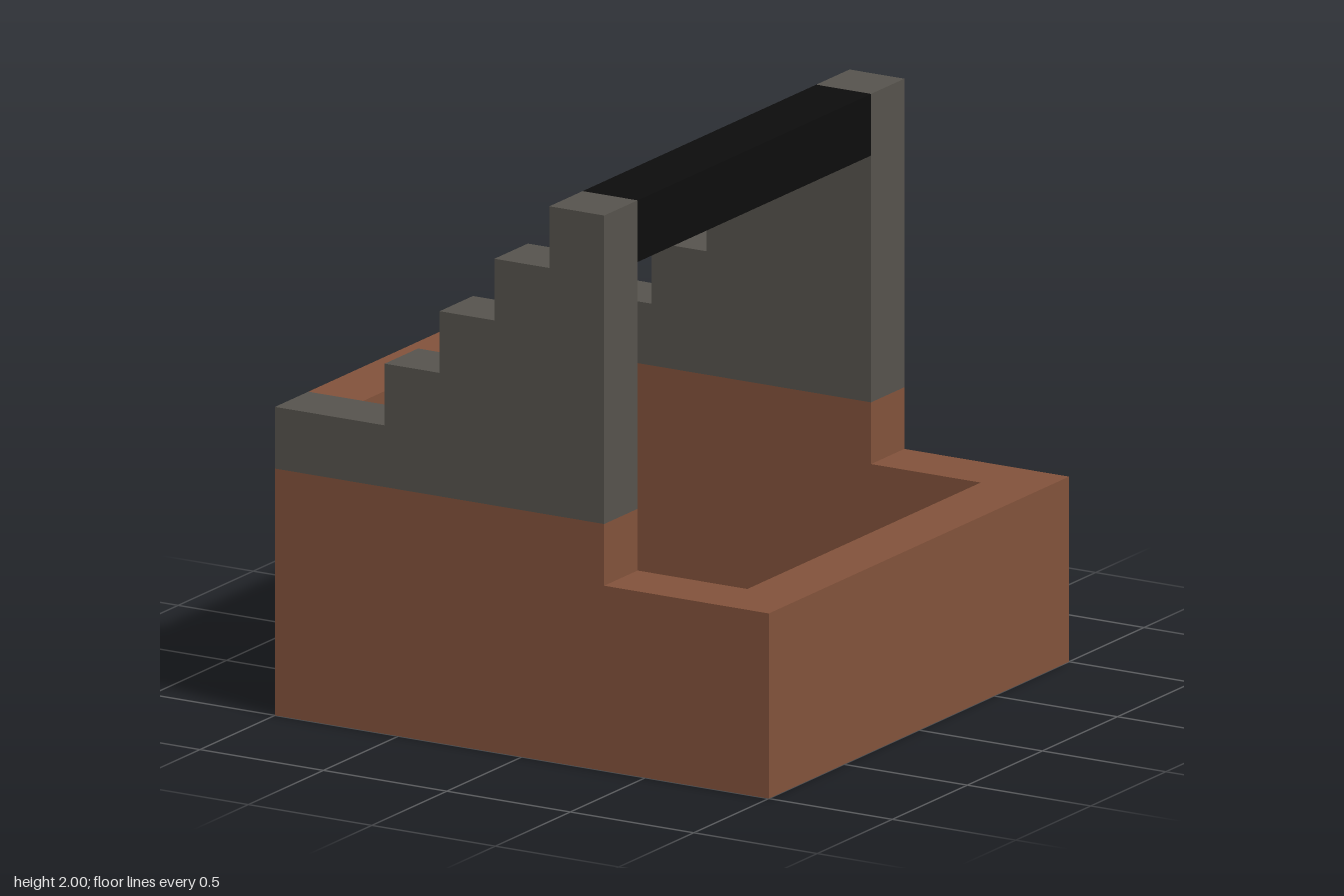
import * as THREE from 'three';

const U = 2 / 9; // one block of the 9 x 9 x 9 layout

const brick = new THREE.MeshStandardMaterial({ color: 0x82523b });
brick.name = 'brown brick';
const stone = new THREE.MeshStandardMaterial({ color: 0x56534d });
stone.name = 'grey stone';
const black = new THREE.MeshStandardMaterial({ color: 0x0d0d0d });
black.name = 'black beam';

// Extrude an outline given in block units, one block thick
function slab(points) {
  const shape = new THREE.Shape(points.map(([a, b]) => new THREE.Vector2(a * U, b * U)));
  return new THREE.ExtrudeGeometry(shape, { depth: U, bevelEnabled: false });
}

function addMesh(parent, name, geometry, material) {
  const mesh = new THREE.Mesh(geometry, material);
  mesh.name = name;
  parent.add(mesh);
  return mesh;
}

// Box from its lowest corner and size, in block units
function addBox(parent, name, [x, y, z], [w, h, d], material) {
  const mesh = addMesh(parent, name, new THREE.BoxGeometry(w * U, h * U, d * U), material);
  mesh.position.set((x + w / 2) * U, (y + h / 2) * U, (z + d / 2) * U);
  return mesh;
}

export function createModel() {
  const model = new THREE.Group();
  model.name = 'steppedFrame';

  // Brown wall outline, and the grey staircase resting on it
  const wall = [[-4.5, 0], [4.5, 0], [4.5, 3], [1.5, 3], [1.5, 4], [-4.5, 4]];
  const stairs = [[-4.5, 4], [1.5, 4], [1.5, 9]];
  for (let i = 0; i < 4; i++) stairs.push([0.5 - i, 9 - i], [0.5 - i, 8 - i]);
  stairs.push([-4.5, 5]);

  // Front and back walls
  for (const [side, z] of [['front', 3.5], ['back', -4.5]]) {
    addMesh(model, side + 'Wall', slab(wall), brick).position.z = z * U;
    addMesh(model, side + 'Stairs', slab(stairs), stone).position.z = z * U;
  }

  // Low wall on the +x side
  addBox(model, 'leftWall', [3.5, 0, -3.5], [1, 3, 7], brick);

  // Tall wall on the -x side, with a slot open against the back wall
  const slotted = slab([[-3.5, 0], [3.5, 0], [3.5, 3], [-2.5, 3], [-2.5, 4], [3.5, 4], [3.5, 5], [-3.5, 5]]);
  slotted.rotateY(Math.PI / 2); // outline runs from +z to -z
  addMesh(model, 'rightSlottedWall', slotted, brick).position.x = -4.5 * U;

  // Beam joining the tops of the staircases
  addBox(model, 'topBeam', [0.5, 8, -3.5], [1, 1, 7], black);

  return model;
}
